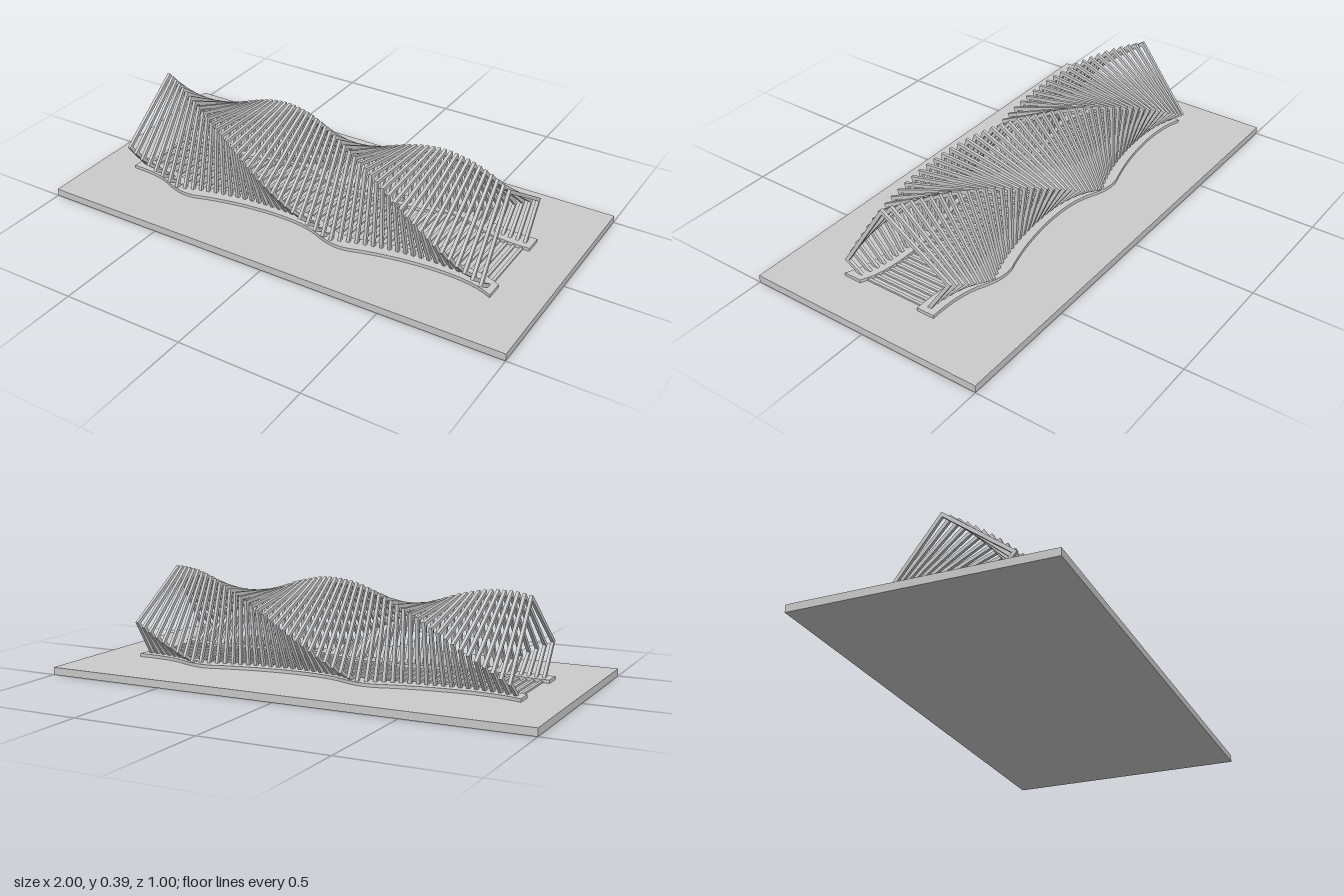
import * as THREE from 'three';

const COUNT = 51, STEP = 0.0318, START_X = -0.806, FRAME_W = 0.0125;
const FLOOR = 0.03, CY = 0.1325, CZ = 0.0145;   // floor height, twist axis
const OUTER = 0.1805, INNER = 0.166;            // half sides of the square frame
const rad = THREE.MathUtils.degToRad;
const frameX = (i) => START_X + i * STEP;
const cornerAngle = (i) => 8 - 4 * i;           // each frame turns 4 degrees further

// Distance from the axis at which a turned square meets the floor (side: 1 front, -1 back)
function foot(half, i, side) {
  const y = FLOOR - CY;
  let best = Infinity;
  for (let k = 0; k < 4; k++) {
    const a = rad(cornerAngle(i) + 45 + 90 * k);
    const c = Math.cos(a) * side;
    if (c > 1e-4) best = Math.min(best, (half - y * Math.sin(a)) / c);
  }
  return best * side;
}

// Outline of a turned square above the floor, from front foot to back foot
function outline(half, i) {
  const y = FLOOR - CY, r = half * Math.SQRT2;
  const corners = [];
  const first = ((cornerAngle(i) + 90) % 90 + 90) % 90 - 90;
  for (let a = first; a < 270; a += 90) {
    const p = new THREE.Vector2(r * Math.cos(rad(a)), r * Math.sin(rad(a)));
    if (p.y > y + 1e-4) corners.push(p);
  }
  return [new THREE.Vector2(foot(half, i, 1), y), ...corners, new THREE.Vector2(foot(half, i, -1), y)];
}

// Foot line averaged over neighbouring frames, for the smooth kerbs
function railZ(i, side) {
  let sum = 0;
  for (let k = -2; k <= 2; k++) sum += foot(OUTER, i + k, side);
  return CZ + sum / 5;
}

export function createModel() {
  const group = new THREE.Group();
  const material = new THREE.MeshStandardMaterial({ color: 0xcccccc, flatShading: true });
  const add = (name, geometry, parent = group) => {
    const mesh = new THREE.Mesh(geometry, material);
    mesh.name = name;
    parent.add(mesh);
    return mesh;
  };

  // Base slab
  add('base', new THREE.BoxGeometry(2, FLOOR, 1)).position.y = FLOOR / 2;

  // Twisting square frames cut off at the floor, each with a floor tie
  const frames = new THREE.Group();
  frames.name = 'frames';
  const ties = new THREE.Group();
  ties.name = 'floorTies';
  group.add(frames, ties);
  for (let i = 0; i < COUNT; i++) {
    const shape = new THREE.Shape([...outline(OUTER, i), ...outline(INNER, i).reverse()]);
    const geometry = new THREE.ExtrudeGeometry(shape, { depth: FRAME_W, bevelEnabled: false });
    geometry.rotateY(-Math.PI / 2);
    add('frame', geometry, frames).position.set(frameX(i) + FRAME_W / 2, CY, CZ);

    const front = railZ(i, 1), back = railZ(i, -1);
    add('floorTie', new THREE.BoxGeometry(FRAME_W, 0.007, front - back), ties)
      .position.set(frameX(i), FLOOR + 0.0035, (front + back) / 2);
  }

  // Wavy kerbs that follow the feet of the frames
  const HALF_W = 0.037, TOP = 0.043;
  for (const side of [1, -1]) {
    const near = [], far = [];
    for (let i = -1; i <= COUNT; i++) {
      const z = railZ(i, side);
      near.push(new THREE.Vector2(frameX(i), z - HALF_W));
      far.unshift(new THREE.Vector2(frameX(i), z + HALF_W));
    }
    const geometry = new THREE.ExtrudeGeometry(new THREE.Shape([...near, ...far]),
      { depth: TOP - FLOOR, bevelEnabled: false });
    geometry.rotateX(Math.PI / 2);
    add(side > 0 ? 'frontKerb' : 'backKerb', geometry).position.y = TOP;
  }
  return group;
}
